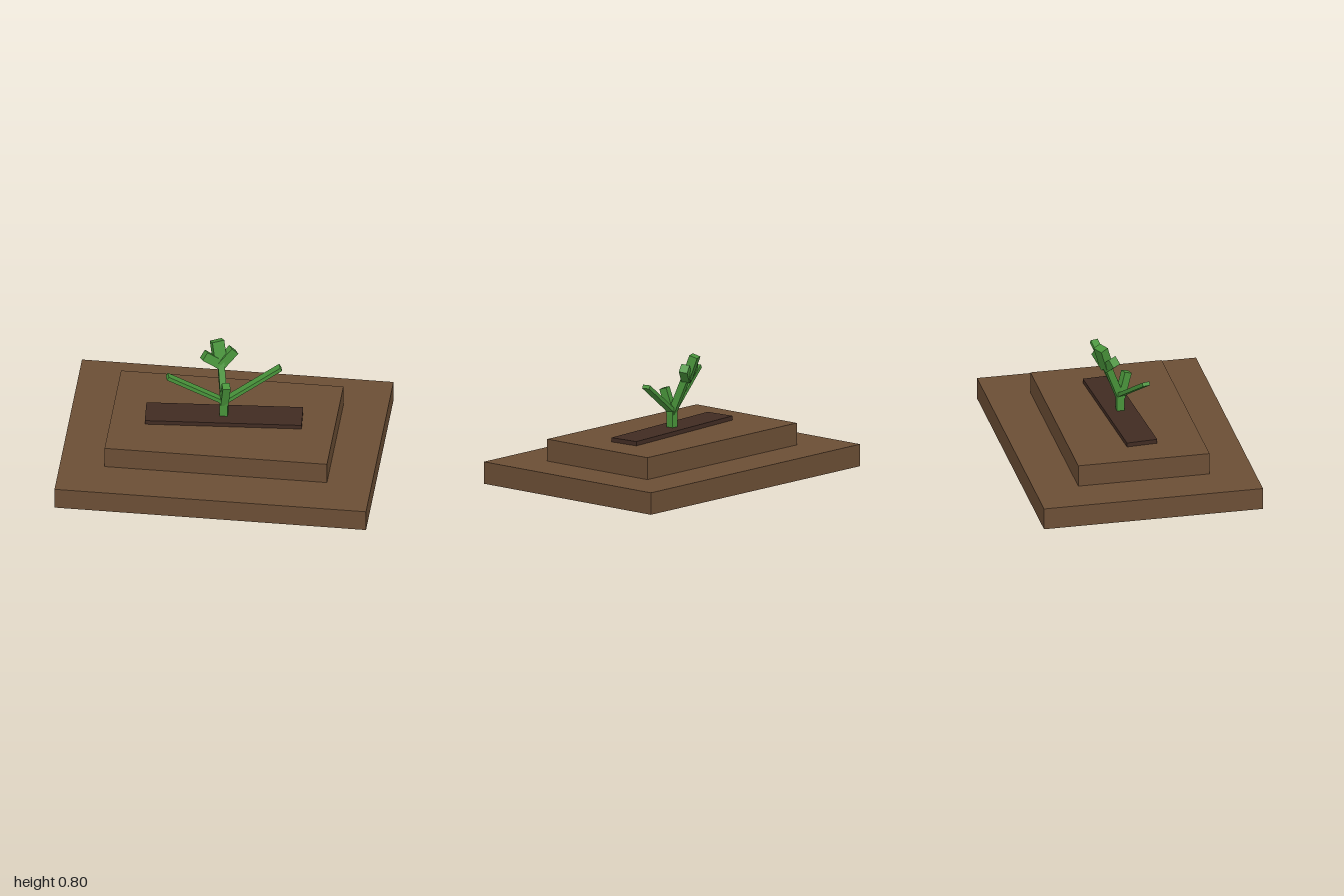
import * as THREE from 'three';

export function createModel() {
  const model = new THREE.Group();
  const mat = (name, color) => {
    const m = new THREE.MeshStandardMaterial({ color });
    m.name = name;
    return m;
  };
  const soil = mat('soil brown', 0x6b4e35);
  const darkSoil = mat('dark furrow brown', 0x402b22);
  const green = mat('leaf green', 0x48933a);

  // Upright box resting on height y
  function block(name, w, h, d, y, material) {
    const mesh = new THREE.Mesh(new THREE.BoxGeometry(w, h, d), material);
    mesh.position.y = y + h / 2;
    mesh.name = name;
    model.add(mesh);
    return mesh;
  }

  // Box running between two points; yaw turns its width direction about y
  function beam(name, from, to, width, depth, yaw) {
    const a = new THREE.Vector3(...from);
    const b = new THREE.Vector3(...to);
    const up = b.clone().sub(a);
    const length = up.length();
    up.normalize();
    const side = new THREE.Vector3(Math.cos(yaw), 0, -Math.sin(yaw));
    side.addScaledVector(up, -side.dot(up)).normalize();
    const front = side.clone().cross(up);
    const mesh = new THREE.Mesh(new THREE.BoxGeometry(width, length, depth), green);
    mesh.quaternion.setFromRotationMatrix(new THREE.Matrix4().makeBasis(side, up, front));
    mesh.position.copy(a).add(b).multiplyScalar(0.5);
    mesh.name = name;
    model.add(mesh);
  }

  // Stepped earth mound with a slightly turned furrow
  block('lowerSoil', 2, 0.143, 1.428, 0, soil);
  block('upperSoil', 1.428, 0.143, 0.856, 0.143, soil);
  block('furrow', 1, 0.028, 0.2, 0.286, darkSoil).rotation.y = 0.07;

  // Stem
  block('stem', 0.05, 0.106, 0.05, 0.314, green);

  // Two long side leaves
  const leafYaw = 0.26;
  for (const s of [1, -1]) {
    beam(s > 0 ? 'leftLeaf' : 'rightLeaf', [0, 0.415, 0],
      [s * 0.352, 0.643, -s * 0.094], 0.025, 0.05, leafYaw);
  }

  // Short front shoot and taller rear shoot
  beam('frontShoot', [0, 0.4, 0], [0.02, 0.565, 0.047], 0.05, 0.05, leafYaw);
  beam('rearShoot', [0, 0.4, 0], [-0.032, 0.65, -0.095], 0.042, 0.045, leafYaw);

  // Bud leaves on the rear shoot
  const budYaw = 0.45;
  const budBase = [-0.035, 0.635, -0.095];
  beam('middleBud', budBase, [-0.062, 0.785, -0.14], 0.08, 0.055, budYaw);
  beam('rightBud', budBase, [-0.138, 0.715, -0.066], 0.06, 0.055, budYaw);
  beam('leftBud', budBase, [0.045, 0.72, -0.145], 0.06, 0.055, budYaw);

  return model;
}
